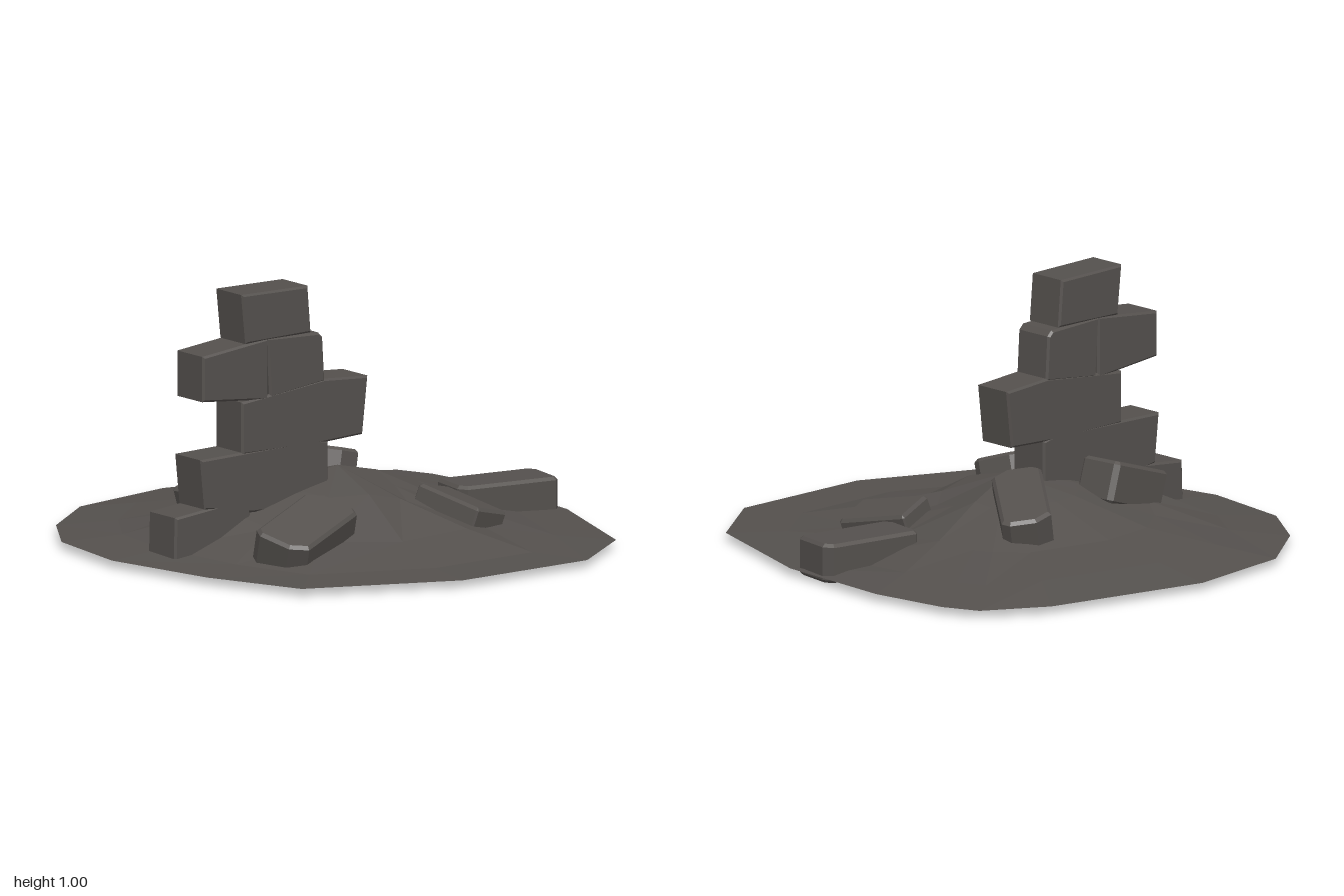
import * as THREE from 'three';

const stone = new THREE.MeshStandardMaterial({ color: 0x54504d, flatShading: true, side: THREE.DoubleSide });
stone.name = 'dark stone';

// Mound outline [x, z] with heights of its three inner rings, outside to inside
const spokes = [
  [-0.02, -1.0, 0.08, 0.12, 0.22], [0.63, -0.86, 0.08, 0.12, 0.22],
  [0.87, -0.72, 0.075, 0.13, 0.22], [0.93, -0.58, 0.075, 0.13, 0.22],
  [0.97, -0.27, 0.075, 0.14, 0.23], [0.93, 0.23, 0.05, 0.1, 0.19],
  [0.73, 0.78, 0.05, 0.075, 0.16], [0.42, 1.0, 0.045, 0.105, 0.19],
  [-0.17, 1.0, 0.045, 0.095, 0.225], [-0.74, 0.75, 0.045, 0.11, 0.22],
  [-0.89, 0.37, 0.05, 0.14, 0.23], [-0.98, -0.09, 0.06, 0.185, 0.24],
  [-0.92, -0.47, 0.06, 0.14, 0.23], [-0.75, -0.72, 0.065, 0.12, 0.22],
  [-0.47, -0.93, 0.075, 0.12, 0.22],
];

// Open faceted heap: rings shrink from the outline toward a peak
function makeMound() {
  const n = spokes.length, scales = [1, 0.78, 0.52, 0.25];
  const peak = [0.02, 0.29, 0];
  const pos = [], index = [];
  scales.forEach((s, r) => spokes.forEach((p) => {
    pos.push(peak[0] + (p[0] - peak[0]) * s, r ? p[1 + r] : 0.04, peak[2] + (p[1] - peak[2]) * s);
  }));
  pos.push(...peak);
  for (let i = 0; i < n; i++) {
    const j = (i + 1) % n;
    for (let r = 0; r < 3; r++) {
      const a = r * n + i, b = r * n + j;
      index.push(a + n, b, a, a + n, b + n, b);
    }
    index.push(4 * n, 3 * n + j, 3 * n + i);
  }
  const geo = new THREE.BufferGeometry();
  geo.setAttribute('position', new THREE.Float32BufferAttribute(pos, 3));
  geo.setIndex(index);
  geo.computeVertexNormals();
  return geo;
}

// Bevelled slab from a flat outline, centred through its thickness
function slab(points, thickness, bevel) {
  const shape = new THREE.Shape(points.map(([x, y]) => new THREE.Vector2(x, y)));
  const geo = new THREE.ExtrudeGeometry(shape, {
    depth: thickness - 2 * bevel, bevelEnabled: true, bevelSegments: 1,
    bevelThickness: bevel, bevelSize: bevel, bevelOffset: -bevel,
  });
  return geo.translate(0, 0, bevel - thickness / 2);
}

// Leaves a buried block open underneath by dropping its downward faces
function openBottom(source) {
  const p = source.attributes.position, kept = [];
  const tri = new THREE.Triangle(), normal = new THREE.Vector3();
  for (let i = 0; i < p.count; i += 3) {
    tri.setFromAttributeAndIndices(p, i, i + 1, i + 2);
    if (tri.getNormal(normal).y > -0.75) kept.push(...tri.a, ...tri.b, ...tri.c);
  }
  const geo = new THREE.BufferGeometry();
  geo.setAttribute('position', new THREE.Float32BufferAttribute(kept, 3));
  geo.computeVertexNormals();
  return geo;
}

// Fallen block between the centres of its two ends, rolled about its length
function fallenBlock(from, to, width, height, cut, roll) {
  const a = new THREE.Vector3(...from), b = new THREE.Vector3(...to);
  const l = a.distanceTo(b) / 2, w = width / 2;
  const geo = slab([
    [-l, -w + cut], [-l + cut * 0.8, -w], [l - cut * 0.4, -w], [l, -w + cut * 0.5],
    [l, w - cut], [l - cut * 0.8, w], [-l + cut * 0.4, w], [-l, w - cut * 0.5],
  ], height, 0.012).rotateX(roll);
  const along = b.clone().sub(a).normalize();
  const across = new THREE.Vector3(0, 1, 0).cross(along).normalize();
  const up = along.clone().cross(across);
  geo.applyMatrix4(new THREE.Matrix4().makeBasis(along, across, up));
  const mid = a.add(b).multiplyScalar(0.5);
  return openBottom(geo.translate(mid.x, mid.y, mid.z));
}

export function createModel() {
  const model = new THREE.Group();
  model.name = 'ruinedWall';
  const add = (name, geo, parent) => {
    const mesh = new THREE.Mesh(geo, stone);
    mesh.name = name;
    parent.add(mesh);
  };

  add('mound', makeMound(), model);

  // Standing wall: front outlines of the stacked blocks, counterclockwise
  const wall = new THREE.Group();
  wall.name = 'wall';
  model.add(wall);
  const blocks = {
    capBlock: [[-0.47, 0.825], [-0.16, 0.83], [-0.175, 1.01], [-0.49, 1.015]],
    upperLeftBlock: [[-0.675, 0.63], [-0.365, 0.6], [-0.365, 0.835], [-0.675, 0.803]],
    upperRightBlock: [[-0.355, 0.605], [-0.095, 0.635], [-0.105, 0.805], [-0.125, 0.825], [-0.37, 0.835]],
    middleBlock: [[-0.49, 0.405], [-0.15, 0.4], [0.085, 0.41], [0.11, 0.63], [-0.1, 0.645], [-0.49, 0.605]],
  };
  const buriedBlocks = {
    lowerBlock: [[-0.665, 0.22], [-0.45, 0.18], [-0.08, 0.17], [-0.08, 0.405], [-0.14, 0.42], [-0.685, 0.41]],
    baseBlock: [[-0.81, 0.03], [-0.68, 0.01], [-0.45, 0.03], [-0.45, 0.24], [-0.805, 0.205]],
  };
  const wallSlab = (points) => slab(points, 0.165, 0.008).translate(0, 0, -0.008);
  for (const [name, points] of Object.entries(blocks)) add(name, wallSlab(points), wall);
  for (const [name, points] of Object.entries(buriedBlocks)) add(name, openBottom(wallSlab(points)), wall);

  // Loose blocks scattered over the slopes
  const rubble = new THREE.Group();
  rubble.name = 'rubble';
  model.add(rubble);
  add('frontRightRubble', fallenBlock([-0.61, 0.09, 0.43], [-0.24, 0.185, 0.31], 0.22, 0.14, 0.06, 0.3), rubble);
  add('backRightRubble', fallenBlock([-0.53, 0.16, -0.18], [-0.24, 0.255, -0.21], 0.17, 0.16, 0.02, 0), rubble);
  add('backLeftRubble', fallenBlock([0.06, 0.265, -0.09], [0.31, 0.16, -0.41], 0.19, 0.15, 0.06, 0.12), rubble);
  add('sideRubble', fallenBlock([0.51, 0.09, 0.05], [0.92, 0.09, 0.12], 0.2, 0.15, 0.035, 0), rubble);
  add('frontLeftRubble', fallenBlock([0.34, 0.14, 0.14], [0.4, 0.08, 0.43], 0.19, 0.12, 0.015, -0.25), rubble);

  return model;
}
